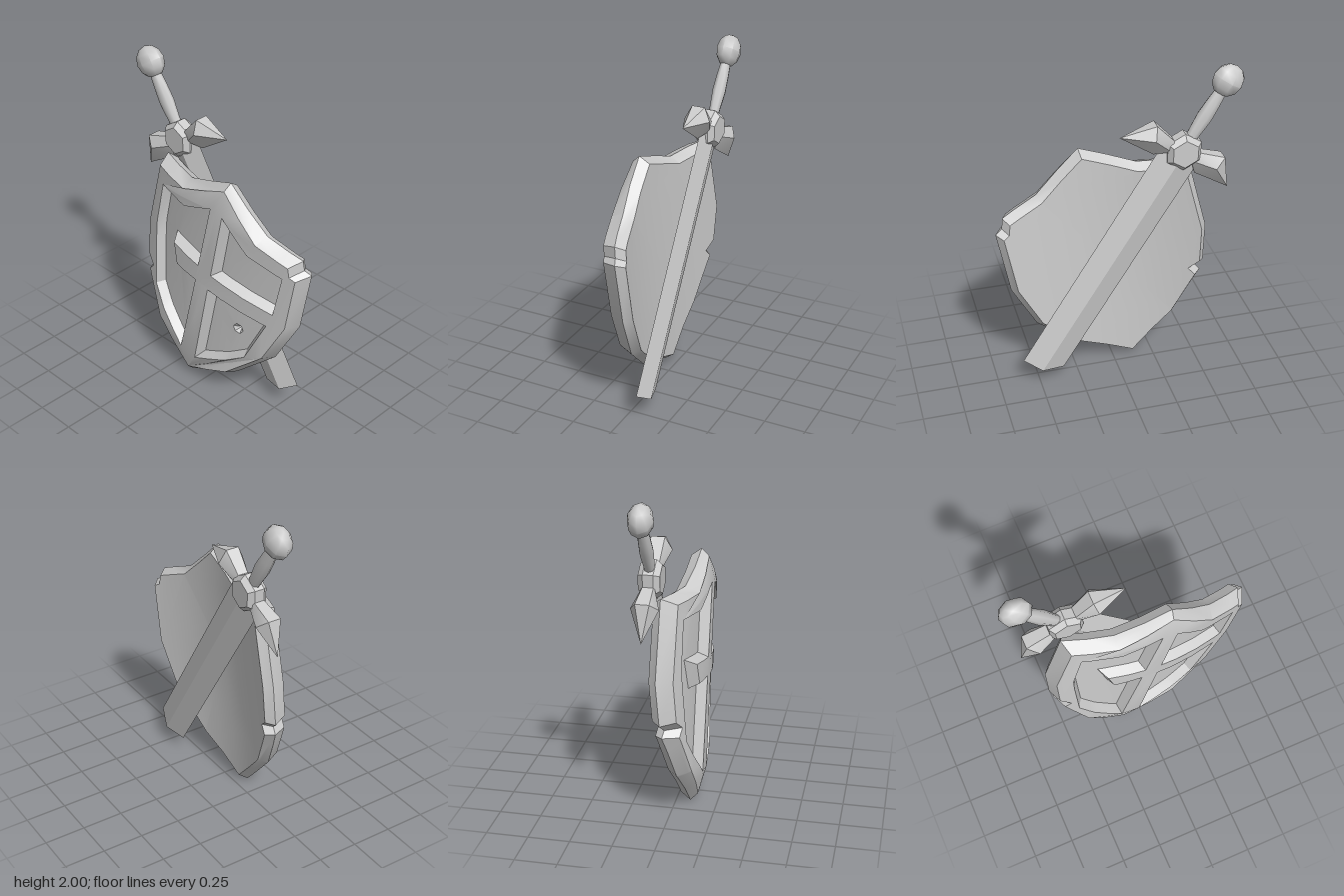
import * as THREE from 'three';
import { toCreasedNormals } from 'three/addons/utils/BufferGeometryUtils.js';
import { ConvexGeometry } from 'three/addons/geometries/ConvexGeometry.js';

const material = new THREE.MeshStandardMaterial({ color: 0xcccccc });
const toPoints = (list) => list.map(([x, y]) => new THREE.Vector2(x, y));

// Shield layers, before bending
const FRONT = 0.165, FLOOR = 0.105, EDGE = 0.085, BACK = 0.025;

// Counter-clockwise outline: chipped on one upper corner, nicked on the opposite side
const outline = toPoints([
  [0, 1.51], [-0.307, 1.32], [-0.594, 1.276], [-0.612, 0.8], [-0.556, 0.546], [-0.5, 0.515],
  [-0.525, 0.472], [-0.32, 0.206], [0, -0.028], [0.32, 0.206], [0.525, 0.483], [0.612, 0.8],
  [0.6, 1.2], [0.555, 1.215], [0.535, 1.277], [0.307, 1.32],
]);

// Sunken panels; the two on one side join where the cross bar is broken off
const panels = [
  [[0.047, 1.321], [0.053, 0.873], [0.49, 0.865], [0.491, 1.154], [0.257, 1.183]],
  [[0.052, 0.759], [0.062, 0.175], [0.27, 0.32], [0.388, 0.436], [0.469, 0.759]],
  [[-0.047, 1.321], [-0.257, 1.183], [-0.491, 1.154], [-0.49, 0.865], [-0.469, 0.759],
    [-0.388, 0.436], [-0.27, 0.32], [-0.062, 0.175], [-0.052, 0.759], [-0.226, 0.745],
    [-0.286, 0.868], [-0.053, 0.873]],
].map(toPoints);

// Moves a counter-clockwise loop inward by d
function inset(loop, d) {
  const normal = (a, b) => new THREE.Vector2(a.y - b.y, b.x - a.x).normalize();
  return loop.map((p, i) => {
    const n1 = normal(loop.at(i - 1), p);
    const n2 = normal(p, loop[(i + 1) % loop.length]);
    const k = d / Math.max(0.5, 1 + n1.dot(n2));
    return p.clone().addScaledVector(n1.add(n2), k);
  });
}

const circle = (x, y, r) => toPoints(Array.from({ length: 6 }, (_, i) =>
  [x + r * Math.cos(i * Math.PI / 3), y + r * Math.sin(i * Math.PI / 3)]));

// The front face falls away slightly at the top and bottom points
const frontZ = (p) => FRONT - 0.035 * THREE.MathUtils.clamp((Math.abs(p.y - 0.75) - 0.6) / 0.12, 0, 1);
const lift = (p, z) => new THREE.Vector3(p.x, p.y, typeof z === 'function' ? z(p) : z);

// Triangles between two matching loops
function band(a, za, b, zb) {
  return a.flatMap((p, i) => {
    const j = (i + 1) % a.length;
    const [p0, q0, q1, p1] = [lift(p, za), lift(b[i], zb), lift(b[j], zb), lift(a[j], za)];
    return [[p0, q0, q1], [p0, q1, p1]];
  });
}

// Triangles filling a loop with holes, facing forward or backward
function cap(loop, holes, z, forward = true) {
  const all = [loop, ...holes].flat();
  return THREE.ShapeUtils.triangulateShape([...loop], holes.map((h) => [...h])).map((face) => {
    const [a, b, c] = face.map((i) => all[i]);
    const ccw = (b.x - a.x) * (c.y - a.y) - (b.y - a.y) * (c.x - a.x) > 0;
    return (ccw === forward ? [a, b, c] : [a, c, b]).map((p) => lift(p, z));
  });
}

// Cuts a triangle along the line x = c
function slice(tri, c) {
  return [1, -1].flatMap((side) => {
    const poly = [];
    tri.forEach((p, i) => {
      const q = tri[(i + 1) % 3];
      const dp = (p.x - c) * side, dq = (q.x - c) * side;
      if (dp >= 0) poly.push(p);
      if (dp * dq < 0) poly.push(p.clone().lerp(q, dp / (dp - dq)));
    });
    if (!poly.some((p) => (p.x - c) * side > 1e-7)) return [];
    return poly.slice(2).map((p, i) => [poly[0], poly[i + 1], p]);
  });
}

function createShield() {
  const rim = inset(outline, 0.037);
  const dent = circle(0.274, 0.565, 0.035);
  let tris = [
    ...cap(rim, panels, frontZ),
    ...band(rim, frontZ, outline, EDGE),
    ...band(outline, EDGE, rim, BACK),
    ...cap(rim, [], BACK, false),
  ];
  panels.forEach((panel, i) => {
    const floor = inset(panel, 0.03);
    tris.push(...band(floor, FLOOR, panel, frontZ), ...cap(floor, i === 1 ? [dent] : [], FLOOR));
  });
  // Small dent in one panel
  tris.push(...band(circle(0.274, 0.56, 0.003), FLOOR - 0.035, dent, FLOOR));

  // Slice into vertical strips, then bend around the upright axis
  for (const c of [-0.45, -0.3, -0.15, 0, 0.15, 0.3, 0.45]) tris = tris.flatMap((t) => slice(t, c));
  const points = tris.flat().map((p) => new THREE.Vector3(p.x, p.y, p.z - 0.115 * (p.x / 0.6) ** 2));
  const mesh = new THREE.Mesh(
    toCreasedNormals(new THREE.BufferGeometry().setFromPoints(points), 0.5), material);
  mesh.name = 'shield';
  mesh.position.set(-0.124, 0.027, 0);
  mesh.rotation.z = -0.2167;
  return mesh;
}

// Sword runs down its own -y from the pommel
function createSword() {
  const sword = new THREE.Group();
  sword.name = 'sword';
  const add = (name, geometry, crease = 0.6) => {
    const mesh = new THREE.Mesh(toCreasedNormals(geometry, crease), material);
    mesh.name = name;
    sword.add(mesh);
    return mesh;
  };

  add('pommel', new THREE.SphereGeometry(0.097, 8, 6), 0.9).scale.z = 0.75;

  const gripProfile = toPoints([[0.037, -0.42], [0.04, -0.36], [0.05, -0.25], [0.045, -0.16], [0.036, -0.06]]);
  add('grip', new THREE.LatheGeometry(gripProfile, 8), 0.9).scale.z = 0.8;

  // Guard block with bevelled front and back
  const block = [];
  for (const [r, z] of [[0.115, 0.03], [0.085, 0.062]]) {
    for (const p of circle(0, -0.48, r)) {
      block.push(new THREE.Vector3(p.x, p.y, z), new THREE.Vector3(p.x, p.y, -z));
    }
  }
  add('guardBlock', new ConvexGeometry(block), 0.3);

  // Guard wings: x, y and half thickness of each corner
  const wing = [[0.07, -0.45, 0.03], [0.07, -0.51, 0.03], [0.154, -0.433, 0.035], [0.242, -0.405, 0.04],
    [0.215, -0.48, 0.08], [0.386, -0.57, 0], [0.147, -0.576, 0]];
  for (const side of [1, -1]) {
    const corners = wing.flatMap(([x, y, z]) => [
      new THREE.Vector3(side * x, y, z), new THREE.Vector3(side * x, y, -z)]);
    add(side > 0 ? 'guardWingLeft' : 'guardWingRight', new ConvexGeometry(corners));
  }

  // Diamond-section blade with a slanted blunt end
  const blade = new THREE.CylinderGeometry(0.13, 0.13, 1.6, 4, 1);
  blade.scale(1, 1, 0.31);
  blade.translate(0, -1.315, 0);
  const pos = blade.attributes.position;
  for (let i = 0; i < pos.count; i++) {
    if (pos.getY(i) < -2 && pos.getX(i) < -0.1) pos.setY(i, -2.06);
  }
  add('blade', blade, 0.3);

  sword.position.set(-0.63, 1.905, -0.088);
  sword.rotation.z = 0.5585;
  return sword;
}

export function createModel() {
  const model = new THREE.Group();
  model.name = 'swordAndShield';
  model.add(createShield(), createSword());
  return model;
}
